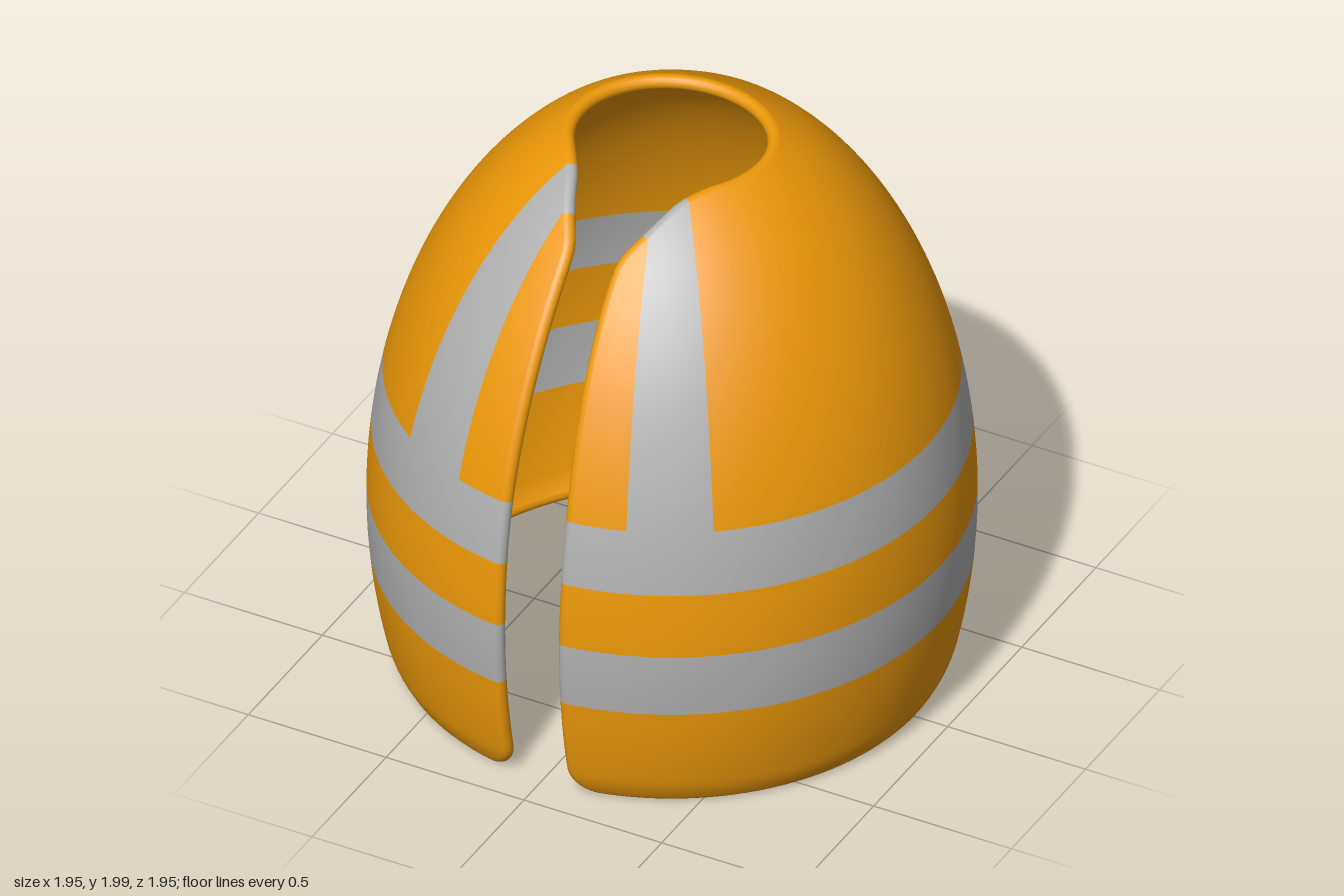
import * as THREE from 'three';

const Y0 = 0.018, Y1 = 1.996;         // hem and collar heights
const THICK = 0.05, BULGE = 0.026;    // wall thickness and edge rounding
const STRIPE = [0.335, 0.637];        // angles of the shoulder stripes
const TAU = Math.PI * 2;

// Egg-shaped wall: radius at a height, drawn in a little at the hem
function radius(y) {
  const hem = Math.max(0, (0.1 - y) / 0.1);
  return 0.977 * Math.sqrt(1 - ((y - 0.6) / 1.495) ** 2) - 0.02 * hem * hem;
}

// Extra width of a rounded corner, k running from 0 to 1
const corner = (k) => 1 - Math.sqrt(1 - THREE.MathUtils.clamp(k, 0, 1) ** 2);

// Half angle of the front slit: narrows upwards, flares at collar and hem
function slitAngle(y) {
  let x = 0.13 - 0.03 * THREE.MathUtils.smoothstep(y, 0.9, 2);
  const w = (y - 1.85) / 0.15;
  x += 0.065 * (w + Math.hypot(w, 0.15));
  x += 0.06 * corner((y - Y1 + 0.03) / 0.03);
  x += 0.075 * corner((Y0 + 0.09 - y) / 0.09);
  return Math.asin(x / radius(y));
}

function wallNormal(y, t) {
  const slope = (radius(y + 0.001) - radius(y - 0.001)) / 0.002;
  return new THREE.Vector3(Math.sin(t), -slope, Math.cos(t)).normalize();
}

// Point on the wall, sunk by depth; the collar is slightly flattened at the back
function wallPoint(y, t, depth) {
  const r = radius(y);
  const p = new THREE.Vector3(r * Math.sin(t), y, r * Math.cos(t));
  p.addScaledVector(wallNormal(y, t), -depth);
  if (p.z < 0) p.z *= 1 - 0.09 * THREE.MathUtils.smoothstep(y, 1.9, 2);
  return p;
}

// Horizontal bands from hem to collar
const spaced = (a, b, n, ease = (s) => s) =>
  Array.from({ length: n + 1 }, (_, i) => a + (b - a) * ease(i / n));
const bands = [
  { rows: spaced(Y0, 0.4, 20, (s) => s * s), grey: false },
  { rows: spaced(0.4, 0.63, 6), grey: true },
  { rows: spaced(0.63, 0.86, 6), grey: false },
  { rows: spaced(0.86, 1.08, 6), grey: true },
  { rows: spaced(1.08, Y1, 48, (s) => 1 - (1 - s) ** 2), grey: false, striped: true },
];

function gridIndex(nu, nv, flip) {
  const index = [];
  for (let v = 0; v < nv; v++) {
    for (let u = 0; u < nu; u++) {
      const a = v * (nu + 1) + u, b = a + 1, c = b + nu + 1, d = a + nu + 1;
      if (flip) index.push(a, c, b, a, d, c);
      else index.push(a, b, c, a, c, d);
    }
  }
  return index;
}

// Piece of wall between two angles, cut back to the slit
function wallPatch(rows, t0, t1, cols, depth) {
  const pos = [], nor = [];
  const sign = depth ? -1 : 1;
  for (const y of rows) {
    const a = slitAngle(y);
    const s = THREE.MathUtils.clamp(t0, a, TAU - a), e = THREE.MathUtils.clamp(t1, a, TAU - a);
    for (let i = 0; i <= cols; i++) {
      const t = s + (e - s) * (i / cols);
      pos.push(...wallPoint(y, t, depth));
      nor.push(...wallNormal(y, t).multiplyScalar(sign));
    }
  }
  const g = new THREE.BufferGeometry();
  g.setAttribute('position', new THREE.Float32BufferAttribute(pos, 3));
  g.setAttribute('normal', new THREE.Float32BufferAttribute(nor, 3));
  g.setIndex(gridIndex(cols, rows.length - 1, depth > 0));
  return g;
}

// Rounded edge running round the hem, both slit sides and the collar
function edgeGeometries() {
  const path = [];
  const arc = (y, from, to) => spaced(from, to, 120).slice(0, -1).forEach((t) => path.push({ y, t }));
  const ys = bands.flatMap((b, i) => b.rows.slice(i ? 1 : 0));
  const a0 = slitAngle(Y0), a1 = slitAngle(Y1);
  arc(Y0, a0, TAU - a0);
  ys.slice(0, -1).forEach((y) => path.push({ y, t: TAU - slitAngle(y) }));
  arc(Y1, TAU - a1, a1);
  ys.slice(1).reverse().forEach((y) => path.push({ y, t: slitAngle(y) }));

  const n = path.length, m = 8, pos = [];
  const outer = path.map((p) => wallPoint(p.y, p.t, 0));
  path.forEach((p, i) => {
    const tangent = outer[(i + 1) % n].clone().sub(outer[(i + n - 1) % n]);
    const out = tangent.cross(wallNormal(p.y, p.t)).normalize();
    const inner = wallPoint(p.y, p.t, THICK);
    for (let j = 0; j <= m; j++) {
      const f = (j / m) * Math.PI;
      pos.push(...outer[i].clone().lerp(inner, 0.5 - 0.5 * Math.cos(f)).addScaledVector(out, BULGE * Math.sin(f)));
    }
  });
  const index = [[], []];
  path.forEach((p, i) => {
    const k = (i + 1) % n, q = path[k];
    const y = (p.y + q.y) / 2, a = slitAngle(y);
    const band = bands.find((b) => y <= b.rows[b.rows.length - 1] + 1e-6);
    const grey = band.grey || (band.striped && a > STRIPE[0] && a < STRIPE[1] && p.y !== q.y);
    for (let j = 0; j < m; j++) {
      const v = i * (m + 1) + j, w = k * (m + 1) + j;
      index[grey ? 1 : 0].push(v, v + 1, w + 1, v, w + 1, w);
    }
  });
  // Normals come from the whole loop so the colour joins stay smooth
  const whole = new THREE.BufferGeometry();
  whole.setAttribute('position', new THREE.Float32BufferAttribute(pos, 3));
  whole.setIndex([...index[0], ...index[1]]);
  whole.computeVertexNormals();
  return index.map((list) => whole.clone().setIndex(list));
}

export function createModel() {
  const group = new THREE.Group();
  group.name = 'vest';
  const orange = new THREE.MeshStandardMaterial({ color: 0xeb9808, side: THREE.DoubleSide });
  const grey = new THREE.MeshStandardMaterial({ color: 0xb0b0b0, side: THREE.DoubleSide });
  const add = (name, geometry, isGrey) => {
    const mesh = new THREE.Mesh(geometry, isGrey ? grey : orange);
    mesh.name = name;
    group.add(mesh);
  };

  // Outer wall and inner lining carry the same bands and stripes
  for (const [side, depth] of [['outer', 0], ['inner', THICK]]) {
    for (const band of bands) {
      if (!band.striped) {
        add(side + (band.grey ? 'ReflectiveBand' : 'Panel'), wallPatch(band.rows, 0, TAU, 120, depth), band.grey);
        continue;
      }
      const [s, e] = STRIPE;
      add(side + 'UpperBody', wallPatch(band.rows, e, TAU - e, 100, depth), false);
      add(side + 'LeftStripe', wallPatch(band.rows, s, e, 8, depth), true);
      add(side + 'RightStripe', wallPatch(band.rows, TAU - e, TAU - s, 8, depth), true);
      add(side + 'LeftFrontPanel', wallPatch(band.rows, 0, s, 8, depth), false);
      add(side + 'RightFrontPanel', wallPatch(band.rows, TAU - s, TAU, 8, depth), false);
    }
  }

  // Rounded edges
  const [plainEdge, stripedEdge] = edgeGeometries();
  add('roundedEdge', plainEdge, false);
  add('reflectiveEdge', stripedEdge, true);
  return group;
}
